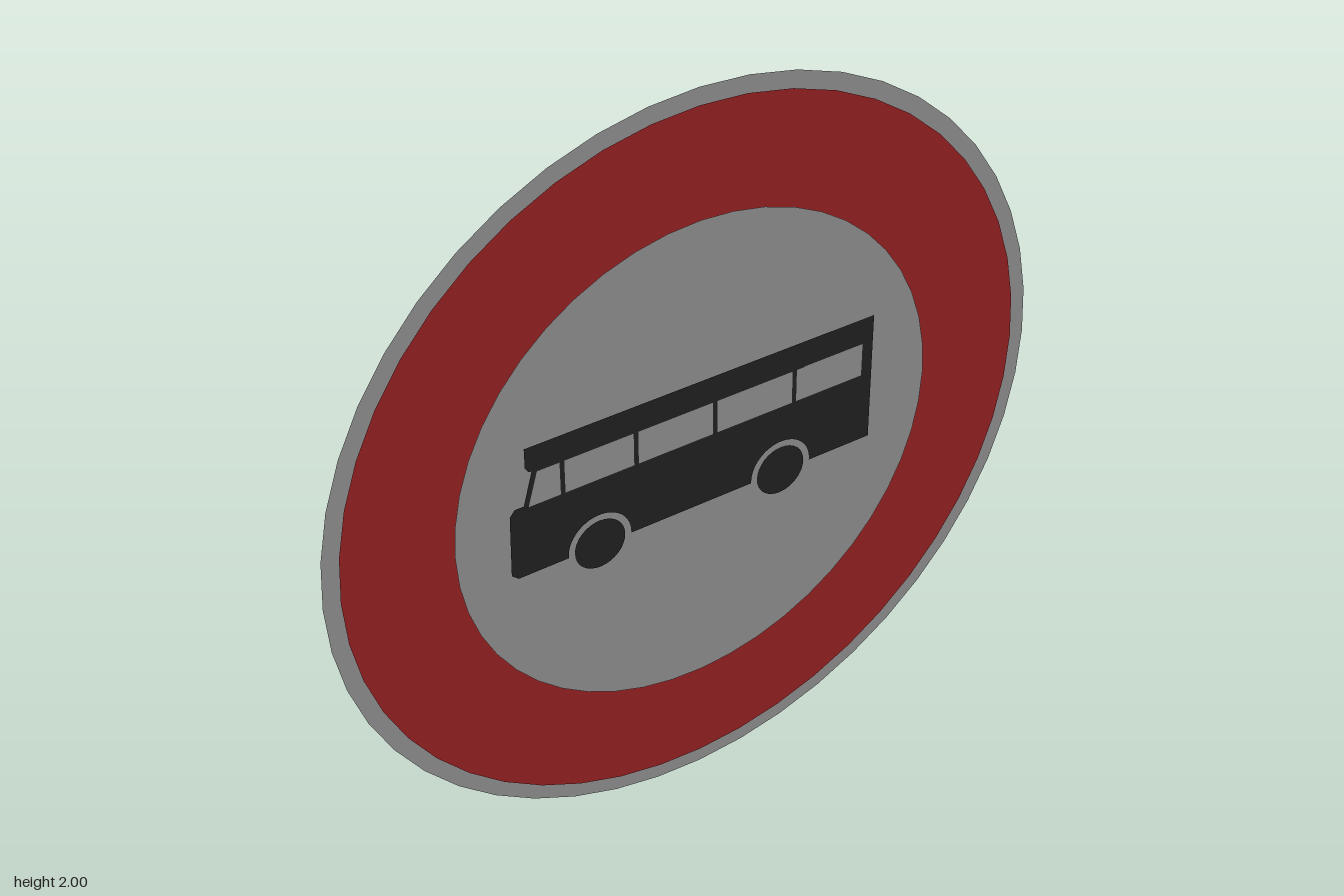
import * as THREE from 'three';

const CENTRE_Y = 1;
const SEGMENTS = 48;

const material = (color) => new THREE.MeshStandardMaterial({ color, side: THREE.DoubleSide });

export function createModel() {
  const group = new THREE.Group();
  group.name = 'roundRoadSign';
  const grey = material(0xcccccc);
  const red = material(0xd43336);
  const dark = material(0x333333);

  // Every part is a flat sheet placed at its own depth
  const addSheet = (name, geometry, mat, x, y, z) => {
    const mesh = new THREE.Mesh(geometry, mat);
    mesh.name = name;
    mesh.position.set(x, y, z);
    group.add(mesh);
  };
  const disc = (radius) => new THREE.CircleGeometry(radius, SEGMENTS);
  const polygon = (points) =>
    new THREE.ShapeGeometry(new THREE.Shape(points.map(([x, y]) => new THREE.Vector2(x, y))));

  // Sign face: backing plate, red band, pale centre
  addSheet('backPlate', disc(1), grey, 0, CENTRE_Y, -0.006);
  addSheet('redBand', disc(0.957), red, 0, CENTRE_Y, -0.003);
  addSheet('centreDisc', disc(0.67), grey, 0, CENTRE_Y, 0);

  // Bus silhouette with round wheel arches cut from its lower edge
  const wheelXs = [-0.289, 0.233];
  const wheelY = 0.875;
  const floorY = 0.87;
  const archRadius = 0.087;
  const body = new THREE.Shape();
  body.moveTo(0.503, floorY);
  body.lineTo(0.503, 1.234);
  body.lineTo(-0.48, 1.234);
  body.lineTo(-0.48, 1.18);
  body.lineTo(-0.47, 1.165);
  body.lineTo(-0.463, 1.165);
  body.lineTo(-0.488, 1.074);
  body.lineTo(-0.512, 1.074);
  body.lineTo(-0.526, 1.058);
  body.lineTo(-0.53, 0.886);
  body.lineTo(-0.512, floorY);
  const dip = Math.asin((wheelY - floorY) / archRadius);
  for (const x of wheelXs) {
    body.absarc(x, wheelY, archRadius, Math.PI + dip, -dip, true);
  }
  body.closePath();
  addSheet('busBody', new THREE.ShapeGeometry(body, 24), dark, 0, 0, 0.003);

  // Wheels
  for (const x of wheelXs) {
    addSheet('busWheel', new THREE.CircleGeometry(0.07, 32), dark, x, wheelY, 0.003);
  }

  // Windows: a slanted front pane followed by four rectangular ones
  const sill = 1.068;
  const head = 1.163;
  addSheet('frontWindow',
    polygon([[-0.479, sill], [-0.39, sill], [-0.39, head], [-0.452, head]]), grey, 0, 0, 0.006);
  for (const [x0, x1] of [[-0.38, -0.19], [-0.18, 0.032], [0.043, 0.262], [0.273, 0.471]]) {
    addSheet('sideWindow',
      polygon([[x0, sill], [x1, sill], [x1, head], [x0, head]]), grey, 0, 0, 0.006);
  }

  return group;
}
